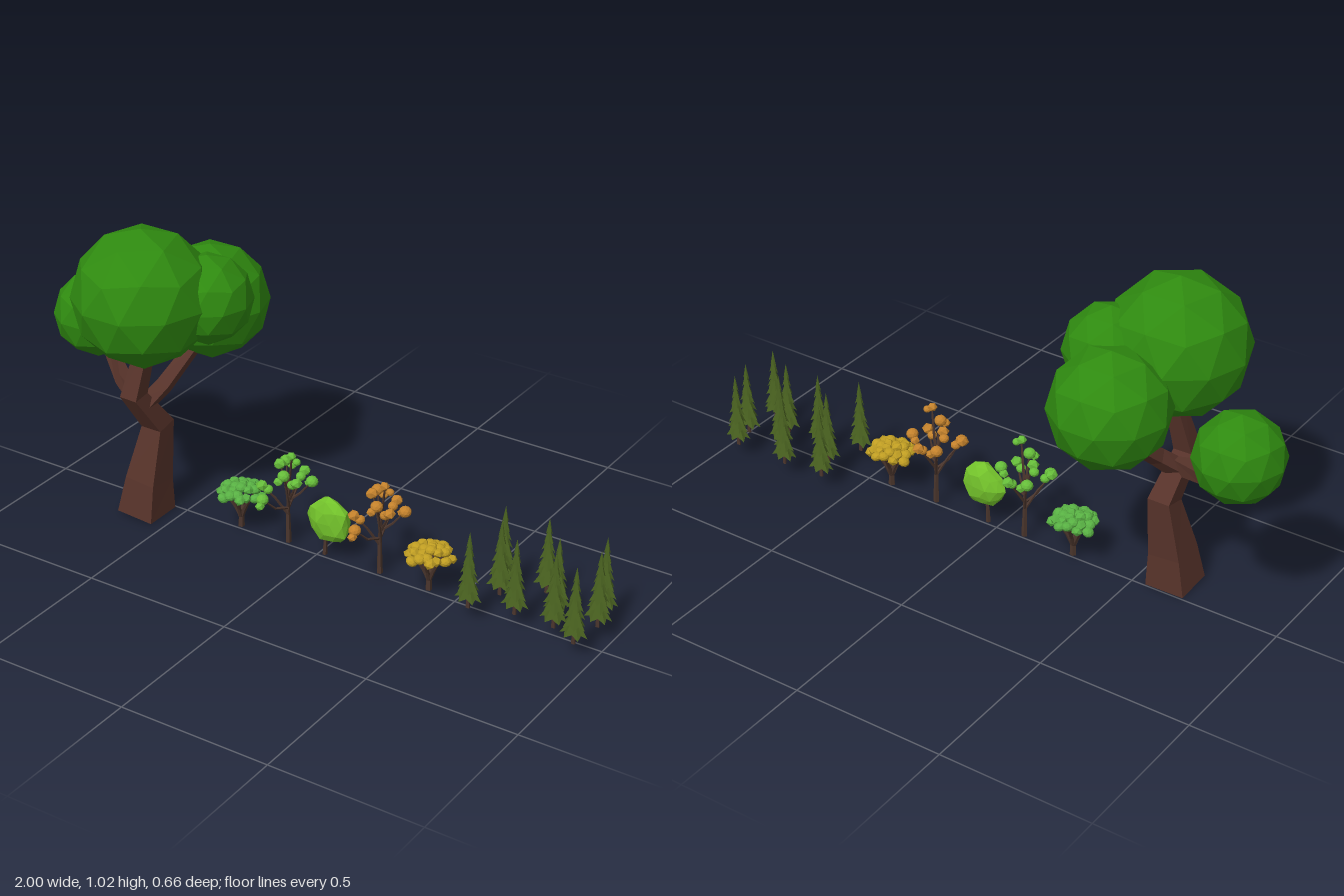
import * as THREE from 'three';
import { mergeGeometries } from 'three/addons/utils/BufferGeometryUtils.js';

const V = (x, y, z) => new THREE.Vector3(x, y, z);
const mat = (color) => new THREE.MeshStandardMaterial({ color, flatShading: true, side: THREE.DoubleSide });
const BARK = mat(0x57332a), TWIG = mat(0x4a352c), CROWN = mat(0x2f8a10), PINE = mat(0x48601f);

function add(parent, name, geometry, material) {
  const mesh = new THREE.Mesh(geometry, material);
  mesh.name = name;
  parent.add(mesh);
  return mesh;
}

// Tapered limb through points [x, y, z, halfWidth]; four sides are square to the axes
function limb(points, sides = 4) {
  const p = points.map(([x, y, z]) => V(x, y, z));
  const pos = [], idx = [], ref = V(0, 0, 1), n = p.length;
  p.forEach((c, i) => {
    const t = p[Math.min(i + 1, n - 1)].clone().sub(p[Math.max(i - 1, 0)]).normalize();
    const u = V().crossVectors(t, ref).normalize();
    const v = V().crossVectors(u, t);
    const r = points[i][3] * (sides === 4 ? Math.SQRT2 : 1);
    for (let s = 0; s < sides; s++) {
      const a = (s + 0.5) / sides * Math.PI * 2;
      const q = c.clone().addScaledVector(u, r * Math.cos(a)).addScaledVector(v, r * Math.sin(a));
      pos.push(q.x, Math.max(0, q.y), q.z);
      if (i < n - 1) {
        const a0 = i * sides + s, a1 = i * sides + (s + 1) % sides;
        idx.push(a0, a0 + sides, a1, a1, a0 + sides, a1 + sides);
      }
    }
  });
  for (let s = 1; s < sides - 1; s++) {
    const e = (n - 1) * sides;
    idx.push(0, s, s + 1, e, e + s + 1, e + s);
  }
  const g = new THREE.BufferGeometry();
  g.setAttribute('position', new THREE.Float32BufferAttribute(pos, 3));
  g.setIndex(idx);
  g.computeVertexNormals();
  return g;
}

// Faceted ball with a vertex at the top
function ball(r, detail, x, y, z) {
  return new THREE.IcosahedronGeometry(r, detail).rotateX(-Math.atan((1 + Math.sqrt(5)) / 2)).translate(x, y, z);
}

// Uneven leaf clump
function clump(r, x, y, z, seed, flat = 0.8) {
  return new THREE.IcosahedronGeometry(r, seed % 2).scale(1, flat, 1)
    .rotateX(Math.sin(seed * 3.1) * 0.5).rotateY(seed * 1.7).translate(x, y, z);
}

function bigTree() {
  const g = new THREE.Group();
  g.name = 'bigTree';
  add(g, 'trunk', limb([[-0.61, 0, 0.071, 0.066], [-0.6, 0.12, 0.064, 0.054], [-0.583, 0.31, 0.033, 0.037],
    [-0.6, 0.445, 0.128, 0.031], [-0.575, 0.64, 0.075, 0.021]]), BARK);
  add(g, 'backBranch', limb([[-0.595, 0.39, 0.09, 0.024], [-0.555, 0.45, 0.03, 0.022],
    [-0.51, 0.58, -0.12, 0.017]]), BARK);
  add(g, 'sideBranch', limb([[-0.6, 0.41, 0.09, 0.026], [-0.71, 0.435, 0.04, 0.02],
    [-0.8, 0.5, -0.01, 0.015], [-0.85, 0.58, -0.035, 0.012]]), BARK);
  [[0.223, -0.557, 0.793, 0.119], [0.187, -0.5, 0.693, -0.155],
    [0.144, -0.4, 0.78, 0], [0.141, -0.863, 0.597, -0.038]]
    .forEach((s) => add(g, 'crown', ball(s[0], 1, s[1], s[2], s[3]), CROWN));
  return g;
}

// Low tree with a vase of branches under a flat, dense canopy
function umbrellaTree(x, color) {
  const g = new THREE.Group();
  g.name = 'umbrellaTree';
  const wood = [limb([[0, 0.012, 0, 0.011], [0, 0.06, 0, 0.009]], 5)], leaves = [];
  for (let i = 0; i < 6; i++) {
    const a = i * Math.PI / 3 + 0.3, c = Math.cos(a), s = Math.sin(a);
    wood.push(limb([[0, 0.045, 0, 0.008], [c * 0.018, 0.085, s * 0.018, 0.006], [c * 0.045, 0.13, s * 0.045, 0.004]], 5));
  }
  for (let i = 0; i < 28; i++) {
    const k = Math.sqrt((i + 0.5) / 28), a = i * 2.4;
    leaves.push(clump(0.019, Math.cos(a) * k * 0.07, 0.164 - k * k * 0.034 + 0.006 * Math.sin(i * 5), Math.sin(a) * k * 0.064, i));
  }
  add(g, 'trunk', mergeGeometries(wood), TWIG);
  add(g, 'leaves', mergeGeometries(leaves), mat(color));
  g.position.x = x;
  return g;
}

// Slim tree with separate leaf clumps at the branch ends
function openTree(x, color) {
  const g = new THREE.Group();
  g.name = 'openTree';
  const wood = [limb([[0, 0.012, 0, 0.01], [-0.002, 0.12, 0, 0.007], [0.005, 0.22, 0.004, 0.005],
    [0.03, 0.33, 0.025, 0.003]], 5)], leaves = [];
  const tips = [[0.03, 0.338, 0.027], [0.02, 0.278, 0.055], [-0.03, 0.283, 0], [-0.055, 0.255, -0.07],
    [0.015, 0.24, -0.07], [0.078, 0.245, -0.016], [-0.058, 0.225, 0.06], [-0.03, 0.2, 0.098], [0.05, 0.25, 0.03]];
  tips.forEach(([a, b, c], i) => {
    if (i) wood.push(limb([[0, 0.11 + (i % 3) * 0.025, 0, 0.005], [a * 0.5, b - 0.05, c * 0.5, 0.004], [a, b, c, 0.002]], 5));
    const r = i ? 0.02 : 0.016;
    leaves.push(clump(r, a, b, c, i, 0.9));
    leaves.push(clump(r * 0.8, a + 0.02 * Math.cos(i * 2), b - 0.014, c + 0.018 * Math.sin(i * 2), i + 1, 0.9));
  });
  add(g, 'trunk', mergeGeometries(wood), TWIG);
  add(g, 'leaves', mergeGeometries(leaves), mat(color));
  g.position.x = x;
  return g;
}

// Round tree with a lumpy crown that is thin from front to back
function roundTree() {
  const g = new THREE.Group();
  g.name = 'roundTree';
  add(g, 'trunk', limb([[0.03, 0.012, 0, 0.008], [0.032, 0.06, 0, 0.006], [0.045, 0.12, 0, 0.004]], 5), TWIG);
  const crown = ball(1, 1, 0, 0, 0), p = crown.attributes.position, v = V();
  for (let i = 0; i < p.count; i++) {
    v.fromBufferAttribute(p, i);
    v.multiplyScalar(1 + 0.08 * Math.sin(v.x * 5 + v.y * 7 + v.z * 4));
    p.setXYZ(i, v.x * 0.075, v.y * 0.078, v.z * 0.036);
  }
  crown.translate(0.048, 0.142, 0.004);
  add(g, 'crown', crown, mat(0x74c42b));
  return g;
}

// Conifer of overlapping skirts with ragged hems
function pine(x, z, i) {
  const g = new THREE.Group();
  g.name = 'pineTree';
  add(g, 'trunk', new THREE.CylinderGeometry(0.005, 0.007, 0.06, 6).translate(0, 0.072, 0), TWIG);
  const tiers = [], count = 7, sides = 12;
  for (let t = 0; t < count; t++) {
    const r = 0.045 * (1 - t / 8), h = 0.07 - t * 0.002;
    const cone = new THREE.ConeGeometry(r, h, sides, 1, true).translate(0, 0.07 + t * 0.029 + h / 2, 0);
    const p = cone.attributes.position;
    for (let k = sides + 1; k < p.count; k++) {
      if ((k - sides - 1) % 2) p.setXYZ(k, p.getX(k) * 0.68, p.getY(k) + 0.012, p.getZ(k) * 0.68);
    }
    tiers.push(cone.rotateY(t * 0.7 + i));
  }
  add(g, 'needles', mergeGeometries(tiers), PINE);
  g.scale.z = 0.64;
  g.position.set(x, 0, z);
  return g;
}

export function createModel() {
  const model = new THREE.Group();
  model.name = 'treeCollection';
  model.add(bigTree(), umbrellaTree(-0.287, 0x58b043), openTree(-0.106, 0x66bd3a), roundTree(),
    openTree(0.232, 0xc4822c), umbrellaTree(0.408, 0xbf9d22));
  [[0.594, -0.128], [0.738, -0.137], [0.934, -0.132], [0.626, -0.05], [0.818, -0.053], [0.955, -0.053],
    [0.717, 0.022], [0.848, 0.022], [0.583, 0.066], [0.938, 0.066]]
    .forEach(([x, z], i) => model.add(pine(x, z, i)));
  return model;
}
